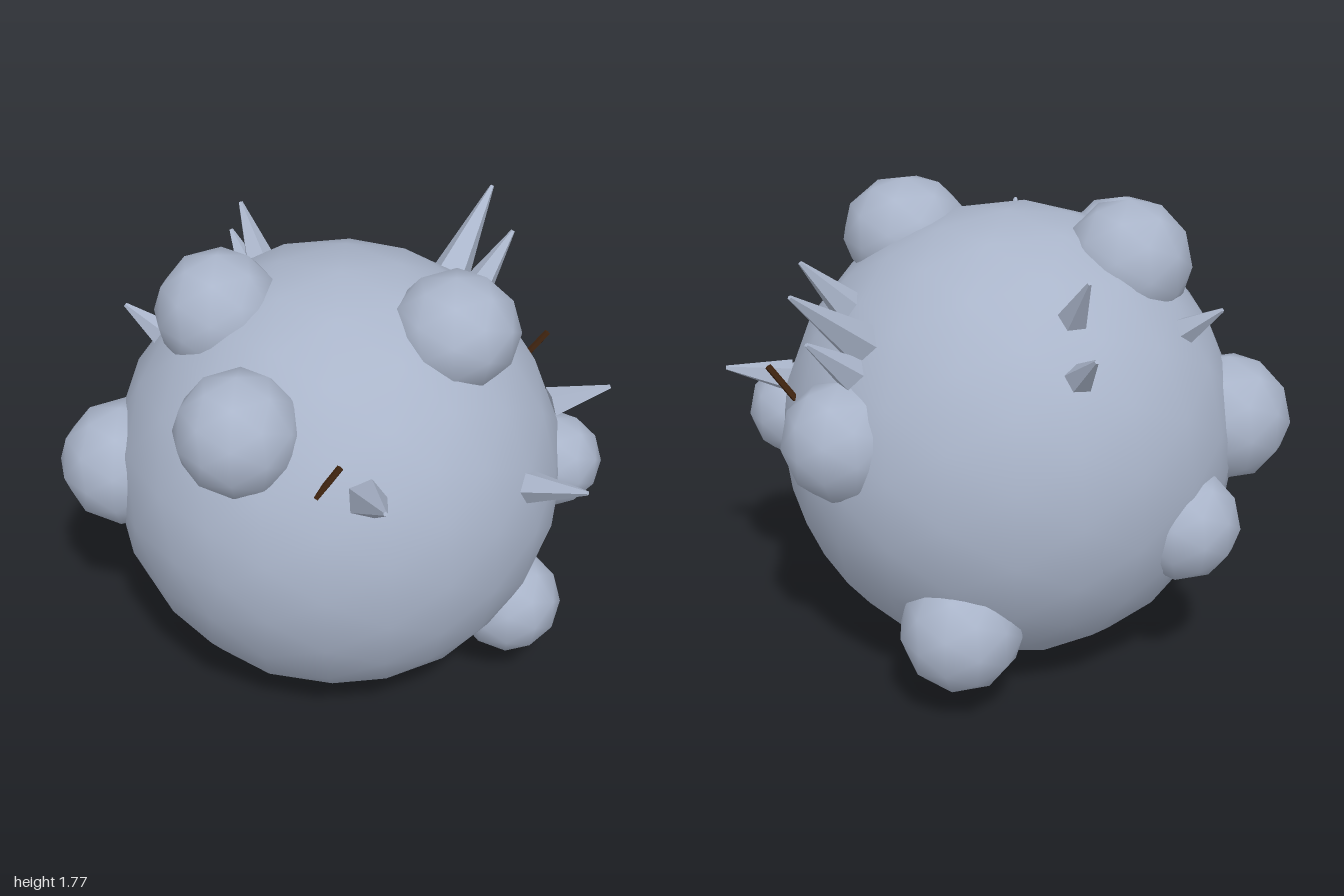
import * as THREE from 'three';
import { mergeVertices } from 'three/addons/utils/BufferGeometryUtils.js';

const stone = new THREE.MeshStandardMaterial({ color: 0xaab5ca });
stone.name = 'pale blue grey';
const wood = new THREE.MeshStandardMaterial({ color: 0x40240f });
wood.name = 'dark brown';

// Icosphere with shared vertices, so it can be reshaped and stay smooth
function blob(radius, detail, reshape) {
  let g = new THREE.IcosahedronGeometry(radius, detail);
  g.deleteAttribute('uv');
  g.deleteAttribute('normal');
  g = mergeVertices(g, 1e-4);
  const p = g.attributes.position;
  const v = new THREE.Vector3();
  for (let i = 0; i < p.count; i++) {
    v.fromBufferAttribute(p, i);
    reshape(v);
    p.setXYZ(i, v.x, v.y, v.z);
  }
  g.computeVertexNormals();
  return g;
}

// Faceted rod from one point to another, with its own end radii
function rod(from, to, r0, r1, sides, material, name) {
  const a = new THREE.Vector3(...from);
  const b = new THREE.Vector3(...to);
  const dir = b.clone().sub(a);
  const g = new THREE.CylinderGeometry(r1, r0, dir.length(), sides).toNonIndexed();
  g.computeVertexNormals();
  const m = new THREE.Mesh(g, material);
  m.position.copy(a).add(b).multiplyScalar(0.5);
  m.quaternion.setFromUnitVectors(new THREE.Vector3(0, 1, 0), dir.normalize());
  m.name = name;
  return m;
}

export function createModel() {
  const model = new THREE.Group();
  model.name = 'spikyBoulder';

  // Main body, a little fuller at the back
  const body = new THREE.Mesh(blob(0.85, 3, (v) => v.multiplyScalar(1 - 0.03 * v.z / 0.85)), stone);
  body.position.set(0, 0.85, -0.04);
  body.name = 'body';
  model.add(body);

  // Round lumps: centre, radius, height factor
  const lumps = [
    [0.295, 1.54, 0.27, 0.24, 0.9],
    [-0.555, 1.365, 0.255, 0.23, 1],
    [-0.39, 1.535, -0.245, 0.235, 1],
    [-0.755, 0.92, -0.36, 0.24, 1],
    [0.73, 0.86, 0.315, 0.183, 1],
    [0.46, 0.378, 0.465, 0.203, 1],
    [0.705, 1.03, -0.357, 0.222, 1],
    [0.36, 0.36, -0.64, 0.225, 1],
    [-0.47, 0.67, -0.66, 0.21, 1],
  ];
  for (const [x, y, z, r, h] of lumps) {
    const lump = new THREE.Mesh(blob(r, 1, (v) => { v.y *= h; }), stone);
    lump.position.set(x, y, z);
    lump.name = 'lump';
    model.add(lump);
  }

  // Five-sided spikes: base, tip
  const spikes = [
    [[-0.25, 1.22, 0.62], [-0.34, 1.39, 0.92]],
    [[0.395, 1.05, 0.62], [0.505, 1.135, 0.86]],
    [[0.77, 1.04, 0.215], [1.0, 1.08, 0.275]],
    [[-0.06, 1.46, -0.57], [-0.07, 1.67, -0.725]],
    [[-0.03, 1.32, -0.73], [-0.04, 1.46, -0.89]],
    [[-0.5, 1.33, -0.47], [-0.62, 1.45, -0.58]],
    [[0.6, 1.41, -0.1], [0.78, 1.62, -0.125]],
    [[0.62, 1.37, -0.31], [0.885, 1.63, -0.45]],
    [[0.67, 1.29, -0.37], [0.835, 1.45, -0.445]],
  ];
  for (const [base, tip] of spikes) {
    const length = Math.hypot(...base.map((c, i) => tip[i] - c));
    model.add(rod(base, tip, 0.04 + 0.1 * length, 0.008, 5, stone, 'spike'));
  }

  // Small wooden splinters
  model.add(rod([0.805, 1.07, -0.055], [0.893, 1.195, -0.015], 0.013, 0.013, 5, wood, 'sideSplinter'));
  model.add(rod([-0.405, 1.23, 0.55], [-0.325, 1.345, 0.575], 0.013, 0.013, 5, wood, 'frontSplinter'));

  return model;
}
